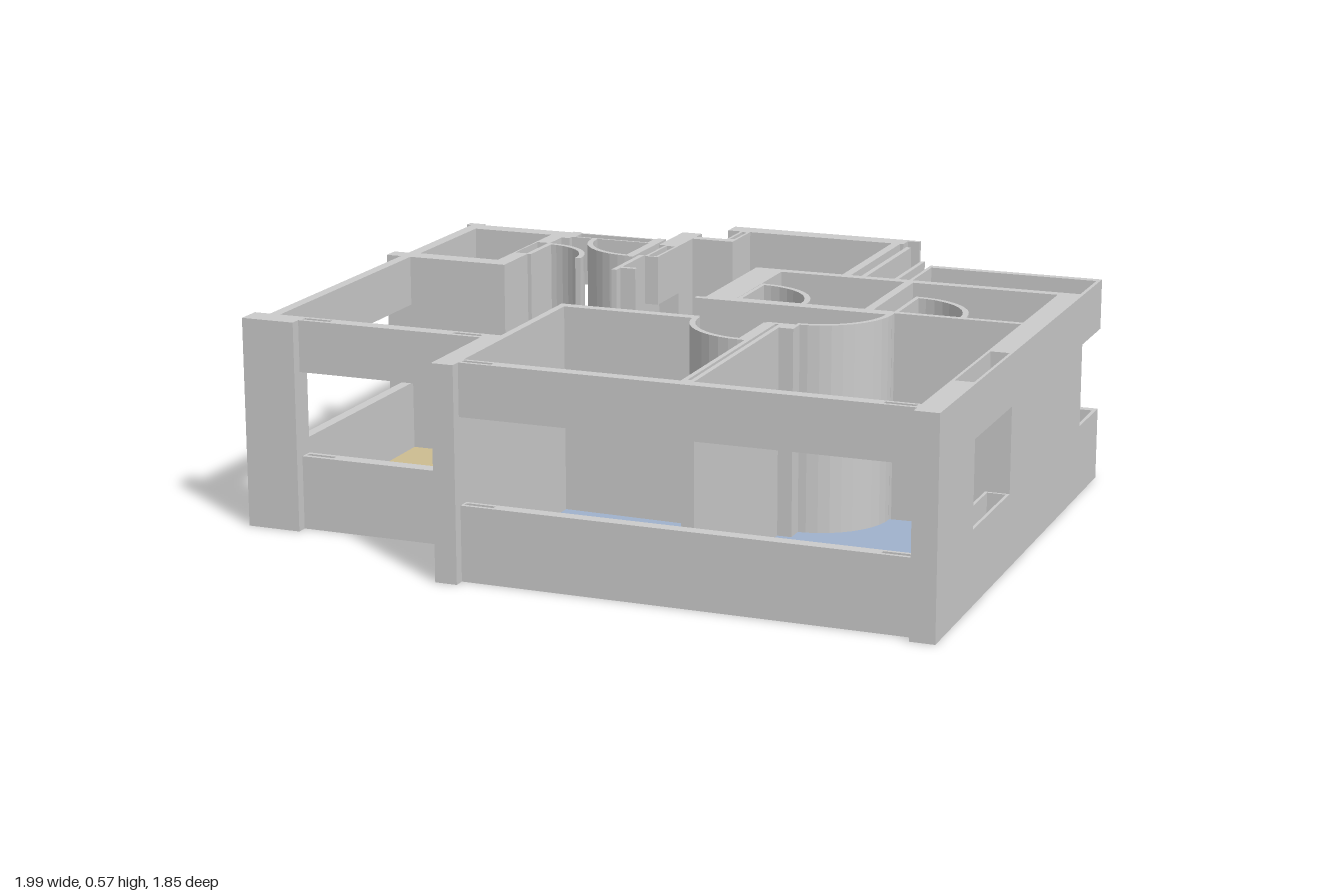
import * as THREE from 'three';

const H = 0.57, SILL = 0.2, HEAD = 0.43;
const mat = (color) => new THREE.MeshStandardMaterial({ color, flatShading: true });
const grey = mat(0xcccccc), red = mat(0xcca795), yellow = mat(0xccbc90);
const blue = mat(0xa0b2cc), teal = mat(0x98bebb), beige = mat(0xc2bcb0);

// plan rectangle, and the same rectangle shrunk by a margin
const rect = (x0, x1, z0, z1) => [[x0, z0], [x1, z0], [x1, z1], [x0, z1]];
const inset = ([x0, x1, z0, z1], m) => rect(x0 + m, x1 - m, z0 + m, z1 - m);

// arc in plan, angles in quarter turns
function arc(cx, cz, r, q0, q1, n = 10) {
  return Array.from({ length: n + 1 }, (_, i) => {
    const a = (q0 + (q1 - q0) * i / n) * Math.PI / 2;
    return [cx + r * Math.cos(a), cz + r * Math.sin(a)];
  });
}

// upright prism over a plan outline
function prism(name, pts, y0, y1, material = grey, holes = []) {
  const toVec = (list) => list.map(([x, z]) => new THREE.Vector2(x, z));
  const shape = new THREE.Shape(toVec(pts));
  shape.holes = holes.map((h) => new THREE.Path(toVec(h)));
  const geo = new THREE.ExtrudeGeometry(shape, { depth: y1 - y0, bevelEnabled: false });
  geo.rotateX(Math.PI / 2);
  const mesh = new THREE.Mesh(geo, material);
  mesh.position.y = y1;
  mesh.name = name;
  return mesh;
}

export function createModel() {
  const model = new THREE.Group();
  const wall = (name, r, holes) => model.add(prism(name, rect(...r), 0, H, grey, holes));
  const floor = (name, pts, m, holes) => model.add(prism(name, pts, 0.002, 0.006, m, holes));

  // wall with a window band left open between sill and header
  const openWall = (name, r, holes) => {
    model.add(prism(name + 'Sill', rect(...r), 0, SILL, grey, holes));
    model.add(prism(name + 'Header', rect(...r), HEAD, H, grey, holes));
  };
  const hollowWall = (name, r) => openWall(name, r, [inset(r, 0.008)]);

  // front window wall with a short slot near each end
  const frontWall = (name, x0, x1, z0, z1) => {
    const z = (z0 + z1) / 2, slot = (x) => rect(x, x + 0.08, z - 0.007, z + 0.007);
    openWall(name, [x0, x1, z0, z1], [slot(x0 + 0.006), slot(x1 - 0.086)]);
  };

  // service room: a closed ring with a slot where its door stands
  const service = rect(-0.92, -0.675, -0.615, -0.24);
  wall('serviceRoomWalls', [-0.955, -0.63, -0.67, -0.185], [service, rect(-0.67, -0.635, -0.505, -0.35)]);
  wall('servicePillar', [-0.97, -0.92, -0.685, -0.66]);
  wall('servicePillar', [-1, -0.92, -0.235, -0.185]);
  floor('serviceFloor', service, beige);

  // bathroom block: one outline, two rooms cut out
  const bath = rect(0.13, 0.49, -0.385, -0.035), washroom = rect(0.515, 0.925, -0.385, -0.035);
  wall('bathroomWalls', [0.045, 0.94, -0.415, -0.015], [bath, washroom]);
  wall('hallWall', [0.02, 0.58, -0.015, 0.005]);
  floor('bathFloor', bath, teal);
  floor('washroomFloor', washroom, beige);

  // entry
  for (const x of [-0.63, -0.36]) wall('entryPost', [x, x + 0.025, -0.68, -0.59]);
  wall('entryWall', [-0.35, -0.335, -0.59, -0.42]);
  wall('entryPillar', [-0.325, -0.265, -0.79, -0.6]);
  wall('entryWall', [-0.325, -0.31, -0.45, -0.24]);
  wall('entryJamb', [-0.325, -0.265, -0.285, -0.27]);
  hollowWall('entryWindow', [-0.605, -0.36, -0.67, -0.61]);
  hollowWall('entrySideWindow', [-0.305, -0.265, -0.6, -0.44]);

  // back room
  wall('backWall', [-0.21, 0.335, -0.925, -0.865]);
  wall('backWallEnd', [0.335, 0.37, -0.925, -0.91]);
  wall('backNotchWall', [-0.265, -0.14, -0.745, -0.715]);
  wall('backRoomJamb', [0.3, 0.36, -0.415, -0.4]);
  hollowWall('notchWindow', [-0.17, -0.14, -0.865, -0.745]);
  openWall('backRoomWindowInner', [0.3, 0.325, -0.865, -0.415]);
  openWall('backRoomWindowOuter', [0.355, 0.37, -0.83, -0.415]);
  openWall('sideRail', [0.452, 0.464, -0.66, -0.415]);

  // balcony
  openWall('balconyBack', [0.495, 0.99, -0.615, -0.59]);
  for (const x of [0.495, 0.98]) openWall('balconySide', [x, x + 0.01, -0.59, -0.415]);
  const drain = arc(0.797, -0.553, 0.03, 1, 4.2, 4);
  floor('balconyFloor', rect(0.505, 0.98, -0.59, -0.415), beige, [drain]);

  // bedrooms
  const divider = [0.315, 0.35, 0.2, 0.855];
  wall('bedroomBackWall', [-0.285, 0.11, 0.2, 0.23]);
  wall('bedroomSideWall', [-0.285, -0.265, 0.23, 0.6]);
  wall('bedroomDivider', divider, [inset(divider, 0.013)]);
  wall('doorJamb', [0.3, 0.315, 0.2, 0.41]);
  wall('doorJamb', [0.35, 0.39, 0.2, 0.25]);

  // outer shell with its corner pillars
  wall('rightWall', [0.925, 0.99, -0.415, 0.29]);
  wall('rightCorner', [0.925, 0.99, 0.62, 0.92]);
  wall('middlePillar', [-0.325, -0.265, 0.59, 0.92]);
  wall('leftCorner', [-1, -0.85, 0.59, 0.66]);
  hollowWall('sideWindow', [0.925, 0.99, 0.29, 0.62]);
  openWall('livingSideWindow', [-0.955, -0.925, -0.185, 0.59]);
  frontWall('livingFront', -0.85, -0.325, 0.59, 0.63);
  frontWall('bedroomFront', -0.265, 0.925, 0.855, 0.89);

  // quarter-circle door sweep, with the leaf along one radius
  const door = (cx, cz, r, q, hasFloor) => {
    const t = 0.016, g = new THREE.Group();
    g.name = 'door';
    g.add(prism('doorSweep', [...arc(cx, cz, r, q, q + 1), ...arc(cx, cz, r - t, q + 1, q)], 0, H));
    const leaf = new THREE.Mesh(new THREE.BoxGeometry(r, H, 0.012), grey);
    leaf.name = 'doorLeaf';
    leaf.geometry.translate(r / 2, H / 2, 0);
    leaf.rotation.y = -q * Math.PI / 2;
    leaf.position.set(cx, 0, cz);
    g.add(leaf);
    if (hasFloor) g.add(prism('doorFloor', [[cx, cz], ...arc(cx, cz, r - t, q, q + 1)], 0, 0.008, beige));
    model.add(g);
  };
  door(0.3, 0.21, 0.2, 1);
  door(0.38, 0, 0.2, 0);
  for (const x of [0.137, 0.58]) door(x, -0.035, 0.19, 3, true);
  door(-0.625, -0.345, 0.16, 3, true);
  door(-0.355, -0.61, 0.185, 1, true);

  // floors that follow the door sweeps and the diagonal between living room and hall
  const border = [[-0.63, -0.34], [-0.585, -0.34], [-0.585, -0.15], [-0.265, 0.17]];
  floor('livingFloor', [[-0.925, -0.185], [-0.63, -0.185], ...border, [-0.285, 0.2],
    [-0.285, 0.59], [-0.925, 0.59]], yellow);
  floor('hallFloor', [...border.slice().reverse(), [-0.63, -0.6], [-0.31, -0.6], [-0.31, -0.43],
    [-0.265, -0.43], [-0.265, -0.715], [0.045, -0.715], [0.045, 0],
    ...arc(0.38, 0, 0.19, 0, 1), ...arc(0.3, 0.21, 0.19, 1, 2), [-0.265, 0.2]], red);
  floor('backRoomFloor', [[-0.14, -0.865], [0.3, -0.865], [0.3, -0.415], [0.045, -0.415],
    [0.045, -0.715], [-0.14, -0.715]], red);
  floor('bedroomFloor', [[-0.265, 0.23], ...arc(0.3, 0.21, 0.19, 1.9, 1), [0.315, 0.855],
    [-0.265, 0.855]], blue);
  floor('mainBedroomFloor', [[0.925, -0.015], [0.925, 0.855], [0.35, 0.855], [0.35, 0.25],
    ...arc(0.38, 0, 0.19, 0.95, 0)], blue);

  // thin threshold strips where floors meet
  const thresholds = (pts) => pts.slice(1).forEach(([x1, z1], i) => {
    const [x0, z0] = pts[i];
    const strip = new THREE.Mesh(new THREE.BoxGeometry(Math.hypot(x1 - x0, z1 - z0), 0.01, 0.006), beige);
    strip.name = 'threshold';
    strip.position.set((x0 + x1) / 2, 0.005, (z0 + z1) / 2);
    strip.rotation.y = -Math.atan2(z1 - z0, x1 - x0);
    model.add(strip);
  });
  thresholds(border.slice(1));
  thresholds([[-0.265, -0.47], [-0.165, -0.47], [0.03, -0.28]]);

  return model;
}
